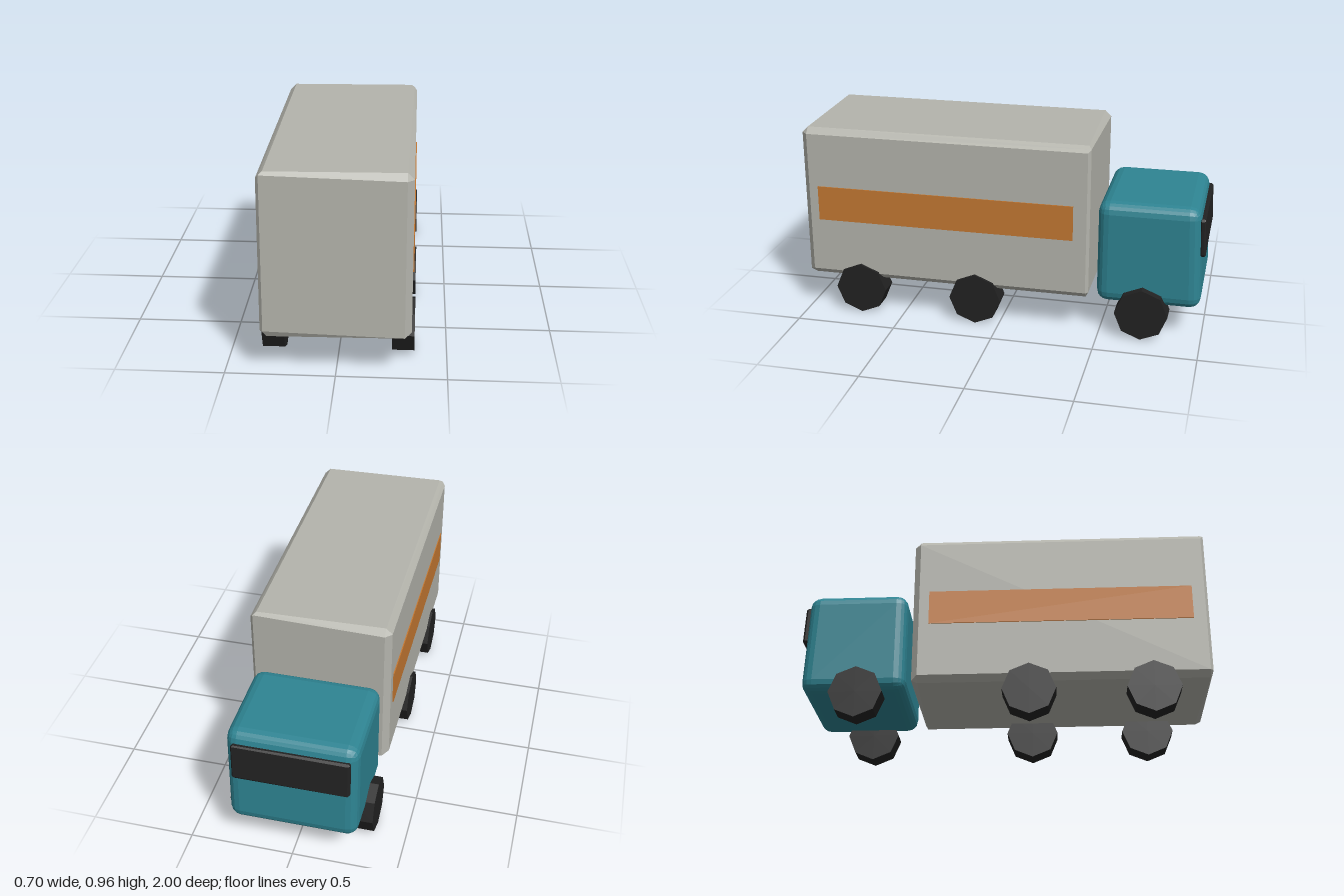
import * as THREE from 'three';
import { ConvexGeometry } from 'three/addons/geometries/ConvexGeometry.js';
import { RoundedBoxGeometry } from 'three/addons/geometries/RoundedBoxGeometry.js';

const mat = (name, color) => Object.assign(new THREE.MeshStandardMaterial({ color }), { name });

// Box with slightly uneven chamfers: opposite vertical corners get the wide bevel
function chamferedBox(w, h, d, wide, narrow) {
  const points = [];
  for (const sx of [-1, 1]) for (const sy of [-1, 1]) for (const sz of [-1, 1]) {
    const b = sx * sz > 0 ? wide : narrow;
    const bz = sx * sy * sz > 0 ? wide : narrow;
    const x = w / 2, y = h / 2, z = d / 2;
    points.push(
      new THREE.Vector3(sx * x, sy * (y - wide), sz * (z - b)),
      new THREE.Vector3(sx * (x - wide), sy * y, sz * (z - b)),
      new THREE.Vector3(sx * (x - b), sy * (y - bz), sz * z),
    );
  }
  return new ConvexGeometry(points);
}

// Facet a geometry so every face is flat
function faceted(geometry) {
  const g = geometry.index ? geometry.toNonIndexed() : geometry;
  g.computeVertexNormals();
  return g;
}

export function createModel() {
  const truck = new THREE.Group();
  truck.name = 'truck';
  const grey = mat('cargoGrey', 0xb4b4ac);
  const teal = mat('cabTeal', 0x2e8492);
  const orange = mat('stripeOrange', 0xc47832);
  const black = mat('rubberBlack', 0x222222);

  const add = (name, geometry, material, x, y, z) => {
    const mesh = new THREE.Mesh(geometry, material);
    mesh.name = name;
    mesh.position.set(x, y, z);
    truck.add(mesh);
    return mesh;
  };

  // Cargo box
  add('cargoBox', chamferedBox(0.674, 0.776, 1.445, 0.03, 0.014), grey, 0, 0.571, 0.275);

  // Cab, with its nose leaning back towards the roof
  const cab = new RoundedBoxGeometry(0.615, 0.515, 0.51, 2, 0.055);
  const p = cab.attributes.position;
  for (let i = 0; i < p.count; i++) {
    if (p.getZ(i) < 0) p.setZ(i, p.getZ(i) + 0.02 * (p.getY(i) / 0.515 + 0.5));
  }
  add('cab', faceted(cab), teal, 0, 0.4175, -0.735);

  // Windscreen
  const screen = add('windscreen', chamferedBox(0.55, 0.19, 0.03, 0.01, 0.006), black, 0, 0.525, -0.98);
  screen.rotation.x = 0.045;

  // Side stripes and wheels, mirrored
  const stripe = new THREE.BoxGeometry(0.016, 0.175, 1.29);
  const wheel = faceted(new THREE.CylinderGeometry(0.13, 0.13, 0.103, 8).rotateZ(Math.PI / 2));
  for (const [side, s] of [['left', 1], ['right', -1]]) {
    add(side + 'Stripe', stripe, orange, s * 0.334, 0.573, 0.277);
    [['Rear', 0.715], ['Middle', 0.12], ['Front', -0.71]].forEach(([axle, z]) =>
      add(side + axle + 'Wheel', wheel, black, s * 0.2985, 0.13, z));
  }
  return truck;
}
